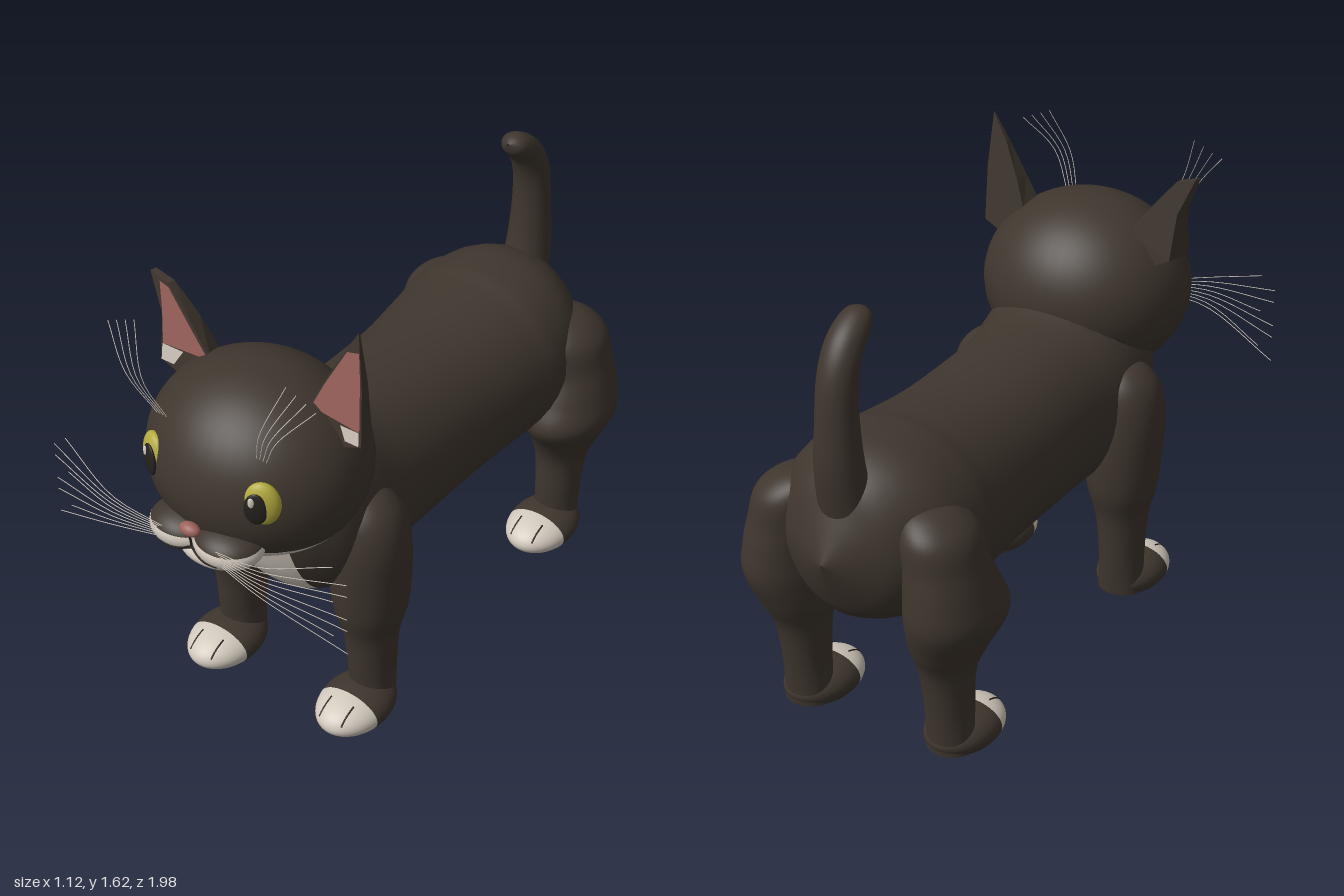
import * as THREE from 'three';

const mat = (name, color, side = THREE.FrontSide) => {
  const m = new THREE.MeshStandardMaterial({ color, side });
  m.name = name;
  return m;
};
const coat = mat('dark coat', 0x3f362e);
const cream = mat('cream fur', 0xd2c9bd);
const pink = mat('pink skin', 0x9c625c);
const yellow = mat('yellow iris', 0xb3aa3e);
const black = mat('pupil', 0x25211e);

const V = (x, y, z) => new THREE.Vector3(x, y, z);

// Catmull-Rom through rows of numbers
function smooth(rows, steps) {
  const out = [];
  const at = i => rows[Math.max(0, Math.min(rows.length - 1, i))];
  for (let i = 0; i < rows.length - 1; i++)
    for (let k = 0; k < steps; k++) {
      const t = k / steps, [a, b, c, d] = [at(i - 1), at(i), at(i + 1), at(i + 2)];
      out.push(b.map((p, n) => 0.5 * (2 * p + (c[n] - a[n]) * t + (2 * a[n] - 5 * p + 4 * c[n] - d[n]) * t * t
        + (3 * p - a[n] - 3 * c[n] + d[n]) * t * t * t)));
    }
  out.push(at(rows.length - 1));
  return out;
}

// Closed tube of elliptical rings [x, y, z, width radius, other radius, half angle of underside patch]
function loft(rows, axis, patchStart = Infinity, cols = 40) {
  const rings = smooth(rows, 6), pos = [], patch = [], rest = [], strip = 10;
  rings.forEach((r, i) => {
    const a = rings[Math.max(0, i - 1)], b = rings[Math.min(rings.length - 1, i + 1)];
    const t = axis || V(0, b[1] - a[1], b[2] - a[2]).normalize();
    const d = r[5] ?? Math.PI / 4;
    for (let j = 0; j < cols; j++) {
      const ang = -Math.PI / 2 + (j <= strip ? -d + 2 * d * j / strip
        : d + (2 * Math.PI - 2 * d) * (j - strip) / (cols - strip));
      const u = r[3] * Math.cos(ang), v = r[4] * Math.sin(ang);
      pos.push(r[0] + u, r[1] + v * t.z, r[2] - v * t.y);
    }
    if (i === rings.length - 1) return;
    for (let j = 0; j < cols; j++) {
      const p = i * cols + j, q = i * cols + (j + 1) % cols;
      (j < strip && r[2] > patchStart ? patch : rest).push(p, q, q + cols, p, q + cols, p + cols);
    }
  });
  const g = new THREE.BufferGeometry();
  g.setAttribute('position', new THREE.Float32BufferAttribute(pos, 3));
  g.setIndex([...rest, ...patch]);
  g.addGroup(0, rest.length, 0);
  g.addGroup(rest.length, patch.length, 1);
  g.computeVertexNormals();
  return g;
}

export function createModel() {
  const root = new THREE.Group();
  root.name = 'cat';
  const add = (name, geo, material, parent = root) => {
    const m = new THREE.Mesh(geo, material);
    m.name = name;
    parent.add(m);
    return m;
  };
  const ball = (name, material, c, r, parent, ...arcs) => {
    const m = add(name, new THREE.SphereGeometry(1, 40, 28, ...arcs), material, parent);
    m.position.set(...c);
    m.scale.set(...r);
    return m;
  };
  const line = (name, pts, radius, material, parent) =>
    add(name, new THREE.TubeGeometry(new THREE.CatmullRomCurve3(pts), 10, radius, 5), material, parent);

  // Body with cream bib and belly
  add('body', loft([
    [0, 0.76, -0.99, 0.004, 0.004, 0.15], [0, 0.76, -0.93, 0.13, 0.14, 0.15],
    [0, 0.77, -0.87, 0.22, 0.24, 0.15], [0, 0.775, -0.75, 0.31, 0.3, 0.15],
    [0, 0.765, -0.6, 0.335, 0.315, 0.15], [0, 0.755, -0.48, 0.325, 0.305, 0.45],
    [0, 0.745, -0.2, 0.3, 0.295, 0.5], [0, 0.755, 0.2, 0.295, 0.31, 0.5],
    [0, 0.785, 0.4, 0.31, 0.35, 0.5], [0, 0.83, 0.54, 0.3, 0.33, 0.52],
    [0, 0.88, 0.62, 0.25, 0.28, 0.62], [0, 0.91, 0.67, 0.19, 0.2, 0.85],
    [0, 0.93, 0.7, 0.12, 0.12, 1.3], [0, 0.94, 0.71, 0.005, 0.005, 1.3],
  ], V(0, 0, 1), -0.61), [coat, cream]);

  // Curled tail
  add('tail', loft([
    [0, 0.9, -0.85, 0.09, 0.08], [0, 1.05, -0.88, 0.078, 0.075], [0, 1.2, -0.885, 0.068, 0.065],
    [0, 1.33, -0.876, 0.064, 0.06], [0, 1.42, -0.84, 0.062, 0.054], [0, 1.475, -0.785, 0.055, 0.045],
    [0, 1.495, -0.745, 0.04, 0.032], [0, 1.505, -0.722, 0.003, 0.003],
  ]), coat);

  // Legs, each with a cream-toed paw
  const frontLeg = [
    [0.27, 0.05, 0.41, 0.08, 0.07], [0.27, 0.2, 0.41, 0.078, 0.085], [0.267, 0.35, 0.41, 0.09, 0.1],
    [0.265, 0.46, 0.41, 0.118, 0.13], [0.265, 0.6, 0.413, 0.13, 0.14], [0.27, 0.74, 0.42, 0.128, 0.135],
    [0.265, 0.84, 0.42, 0.11, 0.115], [0.25, 0.9, 0.42, 0.07, 0.07], [0.24, 0.925, 0.42, 0.003, 0.003],
  ];
  const rearLeg = [
    [0.27, 0.05, -0.71, 0.08, 0.07], [0.27, 0.2, -0.712, 0.078, 0.083], [0.27, 0.35, -0.724, 0.09, 0.097],
    [0.28, 0.45, -0.728, 0.12, 0.14], [0.3, 0.56, -0.715, 0.15, 0.195], [0.295, 0.66, -0.735, 0.14, 0.175],
    [0.28, 0.75, -0.75, 0.13, 0.15], [0.26, 0.85, -0.75, 0.12, 0.14], [0.23, 0.91, -0.75, 0.08, 0.085],
    [0.22, 0.935, -0.75, 0.003, 0.003],
  ];
  for (const s of [1, -1])
    for (const [name, rows, pawZ] of [['frontLeg', frontLeg, 0.5], ['rearLeg', rearLeg, -0.625]]) {
      const leg = new THREE.Group();
      leg.name = name;
      root.add(leg);
      add('limb', loft(rows.map(([x, ...r]) => [s * x, ...r]), V(0, 1, 0)), coat, leg);
      const c = [s * 0.27, 0.082, pawZ], r = [0.118, 0.16, 0.072];
      ball('toes', cream, c, r, leg, 0, 2 * Math.PI, 0, 1.32).rotation.x = Math.PI / 2;
      ball('heel', coat, c, r, leg, 0, 2 * Math.PI, 1.32, Math.PI - 1.32).rotation.x = Math.PI / 2;
      for (const k of [1, -1])
        line('toeCrease', [0.3, 0.55, 0.8, 1.05].map(e => {
          const n = V(0.4 * k, Math.sin(e), Math.cos(e)).normalize();
          return V(c[0] + n.x * 0.118, c[1] + n.y * 0.072, c[2] + n.z * 0.16);
        }), 0.003, black, leg);
    }

  // Head with cream jaw
  const head = new THREE.Group();
  head.name = 'head';
  root.add(head);
  const hc = [0, 1.085, 0.615], hr = [0.363, 0.315, 0.328], cut = 2.17;
  ball('skull', coat, hc, hr, head, 0, 2 * Math.PI, 0, cut);
  ball('jaw', cream, hc, hr, head, 0, Math.PI, cut, Math.PI - cut);
  ball('nape', coat, hc, hr, head, Math.PI, Math.PI, cut, Math.PI - cut);
  ball('chin', cream, [0, 0.855, 0.855], [0.12, 0.045, 0.075], head);
  ball('nose', pink, [0, 0.998, 0.957], [0.036, 0.022, 0.024], head);
  line('lipCrease', [V(0, 0.98, 0.965), V(0, 0.955, 0.957), V(0, 0.93, 0.955)], 0.004, black, head);

  for (const s of [1, -1]) {
    // Muzzle pad, mouth and eye
    const mc = [s * 0.085, 0.935, 0.88], mr = [0.115, 0.065, 0.1];
    ball('muzzleTop', coat, mc, mr, head, 0, 2 * Math.PI, 0, 1.27);
    ball('muzzle', cream, mc, mr, head, 0, 2 * Math.PI, 1.27, Math.PI - 1.27);
    line('mouth', [V(0, 0.93, 0.955), V(s * 0.03, 0.917, 0.966), V(s * 0.065, 0.91, 0.973), V(s * 0.11, 0.912, 0.97)],
      0.004, black, head);
    const eye = new THREE.Group();
    eye.name = 'eye';
    eye.position.set(s * 0.203, 1.13, 0.862);
    eye.rotation.y = s * 0.45;
    head.add(eye);
    ball('iris', yellow, [0, 0, 0], [0.06, 0.078, 0.032], eye);
    ball('pupil', black, [-s * 0.014, -0.003, 0.025], [0.037, 0.056, 0.012], eye);
    ball('glint', cream, [-0.012 - s * 0.014, 0.025, 0.034], [0.01, 0.018, 0.005], eye);

    // Whiskers on cheeks and brows
    for (let i = 0; i < 8; i++) {
      const f = i / 7, y = 0.78 + 0.31 * f, x = 0.56 - 0.05 * (i % 3 === 1 ? 1 : 0);
      line('whisker', [V(s * 0.1, 0.925 + 0.04 * f, 0.965), V(s * 0.28, 0.895 + 0.115 * f, 0.985), V(s * x, y, 0.93)],
        0.0014, cream, head);
    }
    for (let i = 0; i < 4; i++)
      line('browWhisker', [V(s * (0.17 + 0.012 * i), 1.27, 0.84), V(s * (0.22 + 0.022 * i), 1.41, 0.88),
        V(s * (0.28 + 0.035 * i), 1.57 - 0.015 * i, 0.83)], 0.0014, cream, head);
  }

  // Ears: tapering shells, slightly different left and right, with thin inner plates
  const ears = [
    {
      shell: [[0.3, 1.23], [0.38, 1.26], [0.368, 1.45], [0.345, 1.635], [0.29, 1.54], [0.23, 1.42], [0.18, 1.32]],
      inner: [[0.372, 1.31], [0.362, 1.48], [0.352, 1.57], [0.31, 1.56], [0.236, 1.42], [0.195, 1.33]],
      tuft: [[0.372, 1.312], [0.374, 1.265], [0.325, 1.265], [0.305, 1.312]], cx: 0.29,
    },
    {
      shell: [[-0.3, 1.23], [-0.38, 1.26], [-0.382, 1.42], [-0.43, 1.55], [-0.36, 1.53], [-0.27, 1.43], [-0.18, 1.32]],
      inner: [[-0.372, 1.32], [-0.378, 1.43], [-0.39, 1.53], [-0.355, 1.52], [-0.272, 1.42], [-0.195, 1.33]],
      tuft: [[-0.372, 1.322], [-0.374, 1.265], [-0.325, 1.265], [-0.29, 1.322]], cx: -0.29,
    },
  ];
  const shape = pts => new THREE.Shape(pts.map(p => new THREE.Vector2(...p)));
  const bend = (geo, lift, cx) => {
    const p = geo.attributes.position;
    for (let i = 0; i < p.count; i++) {
      const t = Math.min(1, Math.max(0, (p.getY(i) - 1.25) / 0.36)), back = p.getZ(i) < 0;
      p.setZ(i, 0.615 - 0.04 * t + lift - (back ? 0.085 * (1 - t) + 0.006 : 0));
      if (back) p.setX(i, cx + (p.getX(i) - cx) * (0.7 + 0.3 * t));
    }
    geo.computeVertexNormals();
    return geo;
  };
  for (const { shell, inner, tuft, cx } of ears) {
    const ear = new THREE.Group();
    ear.name = 'ear';
    head.add(ear);
    const g = new THREE.ExtrudeGeometry(shape(shell), { depth: 1, bevelEnabled: false }).translate(0, 0, -1);
    add('earShell', bend(g, 0, cx), coat, ear);
    add('innerEar', bend(new THREE.ShapeGeometry(shape(inner)), 0.004, cx), pink, ear);
    add('earTuft', bend(new THREE.ShapeGeometry(shape(tuft)), 0.007, cx), cream, ear);
  }
  return root;
}
